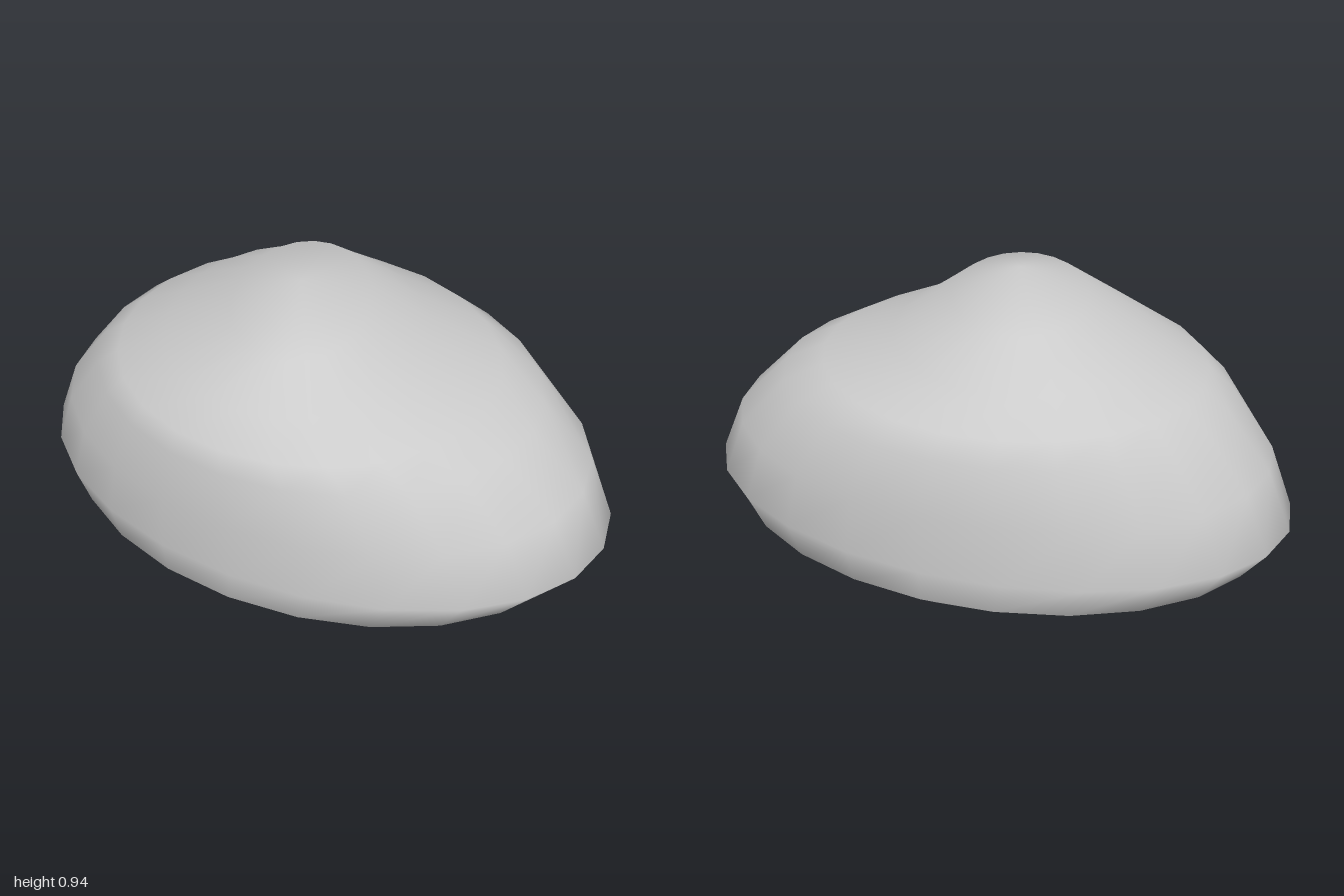
import * as THREE from 'three';

// Cross-sections from bottom to top: y, xMin, xMax, zMin, zMax, shear (x shift per z)
const RINGS = [
  [0.022, -0.48, 0.2, -0.35, 0.35, 0],
  [0.065, -0.74, 0.66, -0.6, 0.6, 0],
  [0.108, -0.92, 0.91, -0.66, 0.66, 0],
  [0.2, -1, 1, -0.655, 0.655, 0],
  [0.4, -0.92, 0.91, -0.66, 0.66, 0],
  [0.58, -0.78, 0.73, -0.62, 0.63, 0],
  [0.65, -0.69, 0.59, -0.57, 0.605, 0.02],
  [0.74, -0.52, 0.36, -0.45, 0.51, 0.1],
  [0.86, -0.29, 0.17, -0.29, 0.38, 0.2],
];
const BOTTOM = [-0.12, 0, 0];
const PEAK = [-0.05, 0.94, 0.065];
const SEGMENTS = 24;

// Closed skin: pole, elliptical rings, pole, all sharing vertices for smooth normals
function stoneGeometry() {
  const positions = [...BOTTOM];
  const index = [];
  for (const [y, x0, x1, z0, z1, shear] of RINGS) {
    for (let i = 0; i < SEGMENTS; i++) {
      const a = (i / SEGMENTS) * Math.PI * 2;
      const dz = Math.sin(a) * (z1 - z0) / 2;
      const x = (x0 + x1) / 2 + Math.cos(a) * (x1 - x0) / 2 + shear * dz;
      positions.push(x, y, (z0 + z1) / 2 + dz);
    }
  }
  positions.push(...PEAK);
  const top = 1 + RINGS.length * SEGMENTS;
  const at = (r, i) => 1 + r * SEGMENTS + (i % SEGMENTS);
  for (let i = 0; i < SEGMENTS; i++) {
    index.push(0, at(0, i), at(0, i + 1));
    for (let r = 0; r < RINGS.length - 1; r++) {
      const a = at(r, i), b = at(r, i + 1), c = at(r + 1, i), d = at(r + 1, i + 1);
      index.push(a, c, b, b, c, d);
    }
    index.push(at(RINGS.length - 1, i), top, at(RINGS.length - 1, i + 1));
  }
  const geometry = new THREE.BufferGeometry();
  geometry.setAttribute('position', new THREE.Float32BufferAttribute(positions, 3));
  geometry.setIndex(index);
  geometry.computeVertexNormals();
  return geometry;
}

export function createModel() {
  const group = new THREE.Group();
  group.name = 'boulder';
  const stone = new THREE.Mesh(stoneGeometry(), new THREE.MeshStandardMaterial({ color: 0xcccccc }));
  stone.name = 'stone';
  group.add(stone);
  return group;
}
